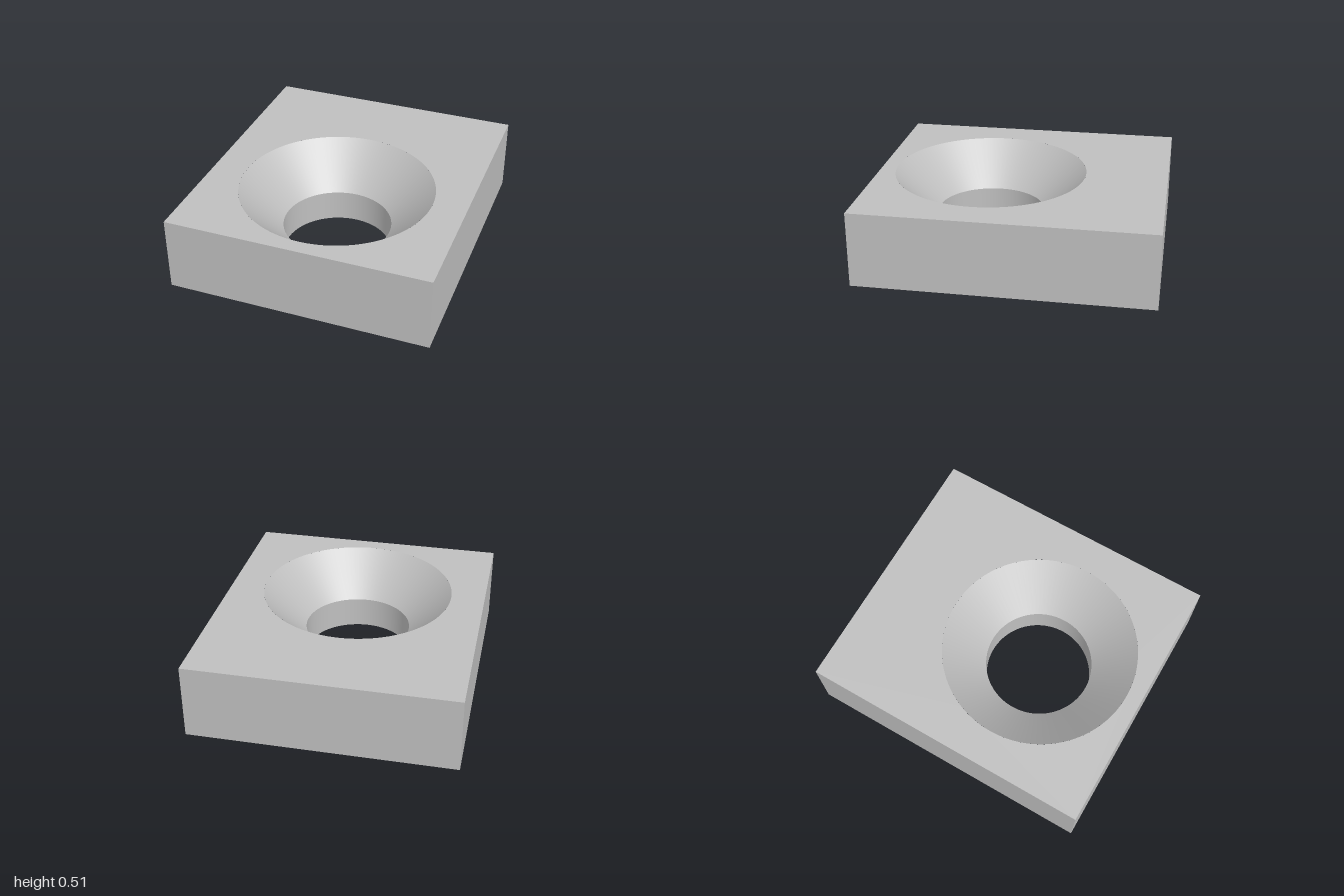
import * as THREE from 'three';
import { mergeGeometries } from 'three/addons/utils/BufferGeometryUtils.js';

const W = 1.8, D = 2, H = 0.515;           // block size
const HOLE_Z = 0.23, R_TOP = 0.667, R = 0.373;
const CONE_Y = H - (R_TOP - R);            // 45 degree countersink
const SEG = 96;

// Rectangular face with a round hole, facing up (dir = 1) or down (dir = -1)
function holedFace(radius, y, dir) {
  const shape = new THREE.Shape();
  shape.moveTo(-W / 2, -D / 2).lineTo(W / 2, -D / 2).lineTo(W / 2, D / 2).lineTo(-W / 2, D / 2).closePath();
  const hole = new THREE.Path();
  hole.absarc(0, -dir * HOLE_Z, radius, 0, Math.PI * 2, true);
  shape.holes.push(hole);
  return new THREE.ShapeGeometry(shape, SEG).rotateX(-dir * Math.PI / 2).translate(0, y, 0);
}

// Inward-facing band of the hole; the profile runs downward
function bore(r0, y0, r1, y1) {
  return new THREE.LatheGeometry([new THREE.Vector2(r0, y0), new THREE.Vector2(r1, y1)], SEG)
    .translate(0, 0, HOLE_Z);
}

export function createModel() {
  const model = new THREE.Group();
  model.name = 'countersunkBlock';
  const grey = new THREE.MeshStandardMaterial({ color: 0xbfbfbf });
  grey.name = 'plain grey';
  const add = (name, geometry) => {
    const mesh = new THREE.Mesh(geometry, grey);
    mesh.name = name;
    model.add(mesh);
  };

  // Four outer walls
  const walls = [];
  for (let i = 0; i < 4; i++) {
    const [width, dist] = i % 2 ? [D, W / 2] : [W, D / 2];
    walls.push(new THREE.PlaneGeometry(width, H).translate(0, H / 2, dist).rotateY(i * Math.PI / 2));
  }
  add('outerWalls', mergeGeometries(walls));

  add('topFace', holedFace(R_TOP, H, 1));
  add('bottomFace', holedFace(R, 0, -1));

  // Conical countersink above a straight through hole
  add('countersink', bore(R_TOP, H, R, CONE_Y));
  add('throughHole', bore(R, CONE_Y, R, 0));

  return model;
}
